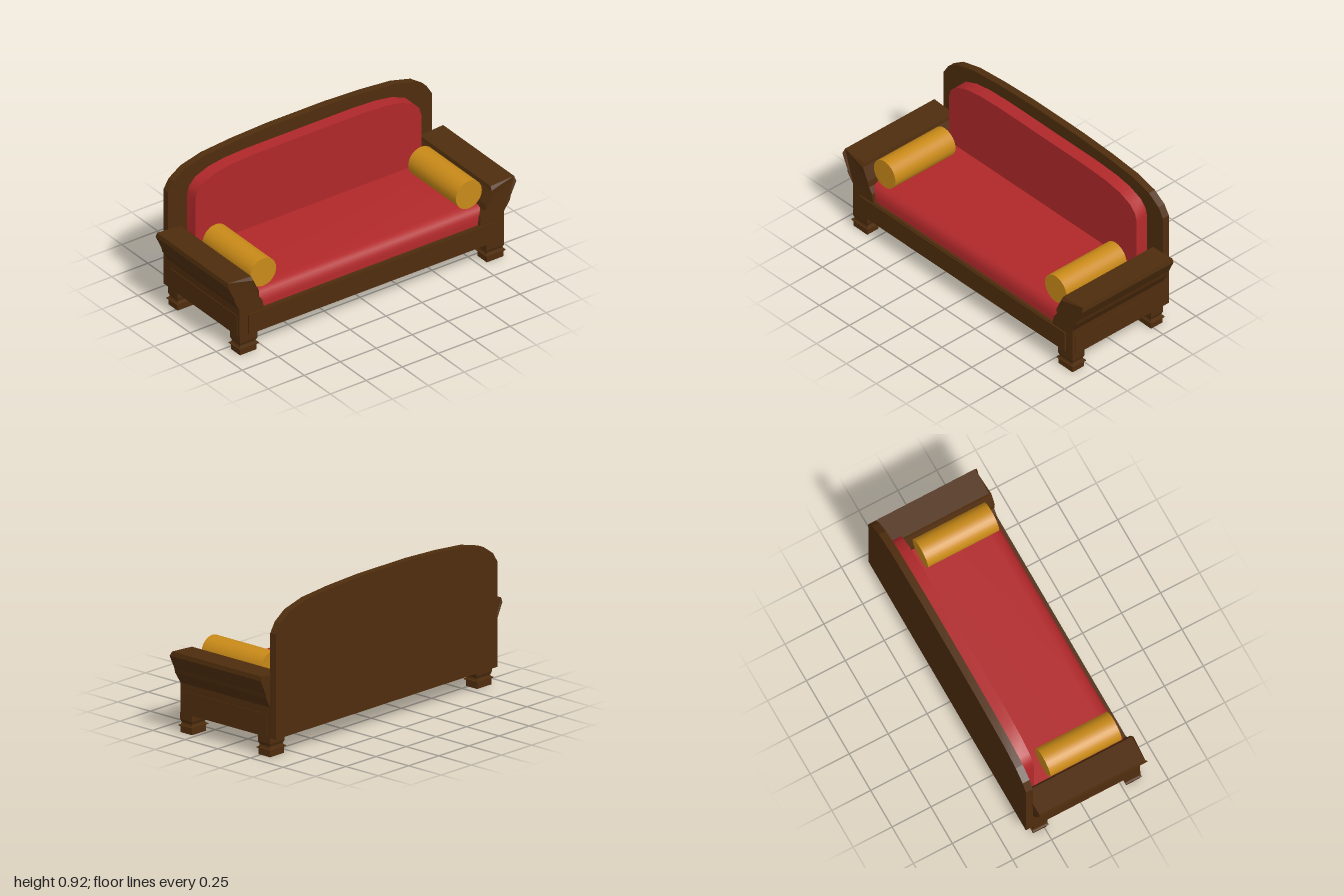
import * as THREE from 'three';
import { toCreasedNormals } from 'three/addons/utils/BufferGeometryUtils.js';

const wood = new THREE.MeshStandardMaterial({ color: 0x4f2d0d });
const red = new THREE.MeshStandardMaterial({ color: 0xb0282a });
const gold = new THREE.MeshStandardMaterial({ color: 0xc98a18 });

export function createModel() {
  const sofa = new THREE.Group();

  const add = (name, geometry, material, x = 0, y = 0, z = 0) => {
    const mesh = new THREE.Mesh(geometry, material);
    mesh.name = name;
    mesh.position.set(x, y, z);
    sofa.add(mesh);
    return mesh;
  };

  // box given by its lower and upper corners
  const addBox = (name, material, [x0, y0, z0], [x1, y1, z1]) =>
    add(name, new THREE.BoxGeometry(x1 - x0, y1 - y0, z1 - z0), material,
      (x0 + x1) / 2, (y0 + y1) / 2, (z0 + z1) / 2);

  // outline in x/y pushed from z0 to z1
  const extrude = (points, z0, z1) => {
    const shape = new THREE.Shape(points.map(([x, y]) => new THREE.Vector2(x, y)));
    return new THREE.ExtrudeGeometry(shape, { depth: z1 - z0, bevelEnabled: false }).translate(0, 0, z0);
  };

  // right half of an outline completed by its mirror image
  const symmetric = (half) => [...half, ...half.map(([x, y]) => [-x, y]).reverse()];

  // arched back board and its padding
  add('backBoard', toCreasedNormals(extrude(symmetric([
    [0.917, 0.115], [0.917, 0.735], [0.88, 0.795], [0.80, 0.85], [0.66, 0.887], [0.45, 0.906], [0.2, 0.917],
  ]), -0.37, -0.325), 0.3), wood);
  add('backCushion', toCreasedNormals(extrude(symmetric([
    [0.785, 0.25], [0.785, 0.68], [0.77, 0.73], [0.73, 0.772], [0.64, 0.808], [0.53, 0.826], [0.37, 0.834],
  ]), -0.325, -0.245), 0.7), red);

  // base with raised front panel
  addBox('base', wood, [-0.917, 0.115, -0.325], [0.917, 0.255, 0.363]);
  addBox('frontPanel', wood, [-0.86, 0.122, 0.36], [0.86, 0.25, 0.371]);

  // seat, rounded along the front edge: profile runs in z/y, then turned across x
  const seat = extrude([
    [-0.325, 0.2], [0.345, 0.2], [0.345, 0.285], [0.34, 0.315], [0.325, 0.34], [0.3, 0.355], [0.265, 0.361], [-0.325, 0.361],
  ], -0.785, 0.785).rotateY(-Math.PI / 2);
  add('seatCushion', toCreasedNormals(seat, 0.8), red);

  // square turned leg
  const legProfile = [
    [0.058, 0], [0.058, 0.038], [0.068, 0.04], [0.068, 0.045], [0.058, 0.047],
    [0.053, 0.06], [0.061, 0.078], [0.061, 0.12],
  ].map(([r, y]) => new THREE.Vector2(r * Math.SQRT2, y));
  const leg = toCreasedNormals(
    new THREE.LatheGeometry([new THREE.Vector2(0, 0), ...legProfile], 4, Math.PI / 4)
      .scale(1, 1, 0.75), 0.1);

  const armProfile = [
    [0.75, 0.12], [0.75, 0.26], [0.76, 0.31], [0.785, 0.345], [0.79, 0.385], [0.828, 0.465], [0.832, 0.487],
    [0.995, 0.497], [1.0, 0.47], [0.96, 0.385], [0.955, 0.36], [0.918, 0.295], [0.918, 0.12],
  ];

  for (const [side, s] of [['left', 1], ['right', -1]]) {
    // flared arm: front face set back at the top edge and below the moulding
    const arm = extrude(armProfile.map(([x, y]) => [x * s, y]), -0.33, 0.37);
    const p = arm.attributes.position;
    for (let i = 0; i < p.count; i++) {
      const y = p.getY(i);
      const setBack = y > 0.48 ? 0.015 : y < 0.35 ? 0.007 : 0;
      if (p.getZ(i) > 0) p.setZ(i, 0.37 - setBack);
      else if (setBack) p.setZ(i, -0.325);
    }
    add(side + 'Arm', toCreasedNormals(arm, 0.2), wood);

    // raised side panel
    const outer = [0.91 * s, 0.922 * s].sort((a, b) => a - b);
    addBox(side + 'SidePanel', wood, [outer[0], 0.122, -0.3], [outer[1], 0.25, 0.342]);

    // bolster cushion
    add(side + 'Bolster', new THREE.CylinderGeometry(0.09, 0.09, 0.458, 28).rotateX(Math.PI / 2),
      gold, 0.715 * s, 0.45, 0.079);

    add(side + 'FrontLeg', leg, wood, 0.858 * s, 0, 0.319);
    add(side + 'BackLeg', leg, wood, 0.858 * s, 0, -0.279);
  }
  return sofa;
}
